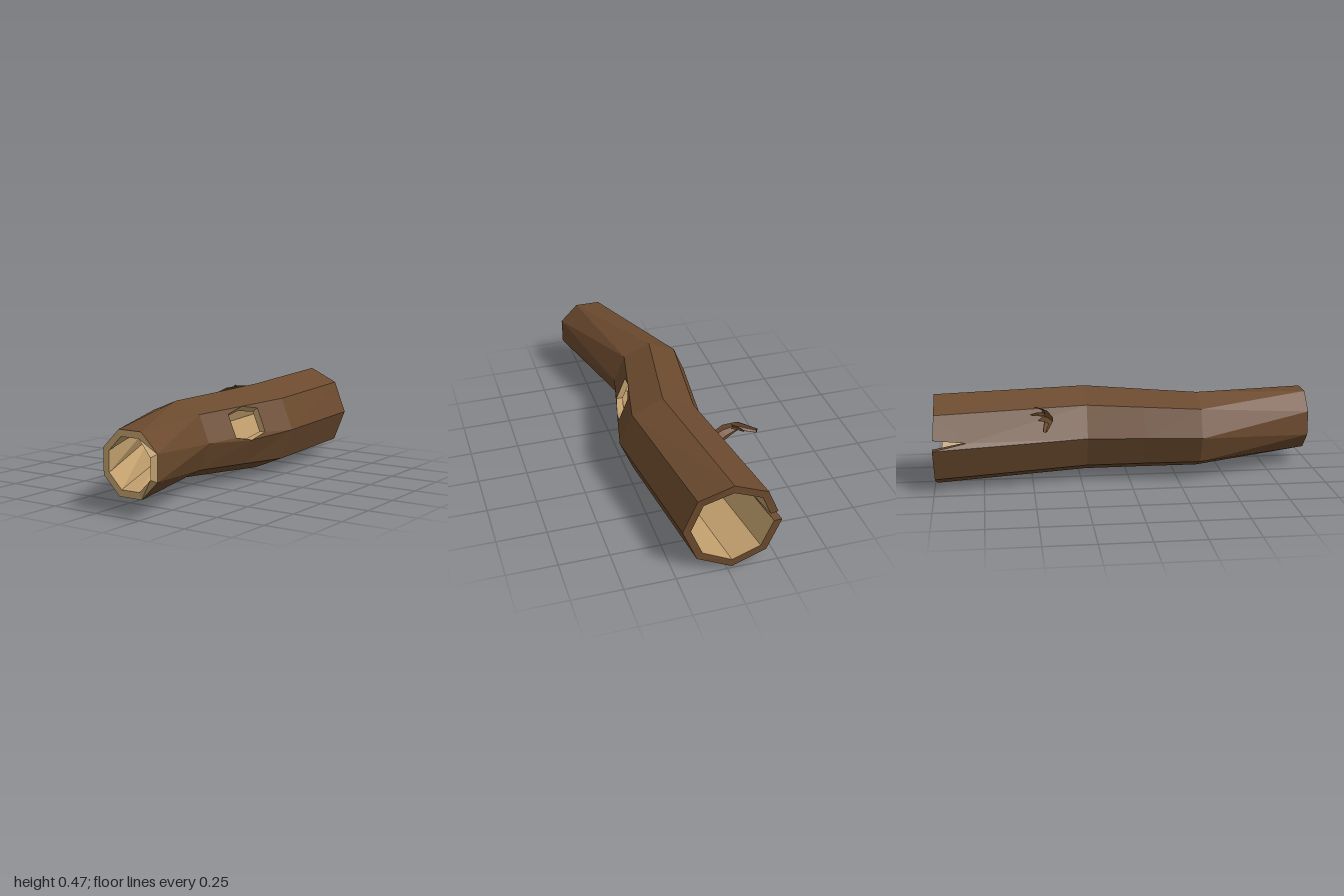
import * as THREE from 'three';

const BARK = 0x6b4a2e, WOOD = 0xc2a06e, SIDES = 8;
const V = (x, y, z) => new THREE.Vector3(x, y, z);

// Cross-sections of the trunk from front to back: centre, radius, twist, inner wall ratio
const SECTIONS = [
  { x: 0.18, y: 0.243, z: 0.97, r: 0.167, twist: Math.PI / 8, wall: 0.79 },
  { x: -0.015, y: 0.244, z: 0.36, r: 0.197, twist: 0, wall: 0.82 },
  { x: 0.033, y: 0.244, z: 0.07, r: 0.211, twist: 0, wall: 0.83 },
  { x: 0.08, y: 0.244, z: -0.22, r: 0.226, twist: 0, wall: 0.83 },
  { x: -0.025, y: 0.235, z: -0.98, r: 0.235, twist: 0, wall: 0.83 },
];
const BACK_Z = [-0.965, -0.97, -0.99, -0.99, -1, -0.995, -0.99, -0.97];

// Collects flat polygons and turns them into one faceted mesh
class Facets {
  constructor() { this.points = []; }
  add(...poly) {
    for (let i = 1; i < poly.length - 1; i++) this.points.push(poly[0], poly[i], poly[i + 1]);
  }
  mesh(name, color) {
    const geometry = new THREE.BufferGeometry().setFromPoints(this.points);
    geometry.computeVertexNormals();
    const mesh = new THREE.Mesh(geometry, new THREE.MeshStandardMaterial({ color, flatShading: true }));
    mesh.name = name;
    return mesh;
  }
}

// Pulls a point of the bark towards the trunk axis, onto the hollow's wall
function inward(p) {
  let i = 0;
  while (i < SECTIONS.length - 2 && p.z < SECTIONS[i + 1].z) i++;
  const a = SECTIONS[i], b = SECTIONS[i + 1];
  const t = THREE.MathUtils.clamp((a.z - p.z) / (a.z - b.z), 0, 1);
  const mix = (key) => a[key] + (b[key] - a[key]) * t;
  const cx = mix('x'), cy = mix('y'), s = mix('wall');
  // the front rim juts out a little on the right-hand edge
  const lip = p.z > 0.9 && p.x > 0.3 ? 0.028 : 0;
  return V(cx + (p.x - cx) * s + lip * 0.5, cy + (p.y - cy) * s, p.z + lip);
}

function makeTrunk() {
  const rings = SECTIONS.map((s, i) => Array.from({ length: SIDES }, (_, k) => {
    const a = (k / SIDES) * Math.PI * 2 + s.twist;
    return V(s.x + s.r * Math.cos(a), s.y + s.r * Math.sin(a), i === 4 ? BACK_Z[k] : s.z);
  }));
  const [front, r1, r2, r3, back] = rings;
  r2[0].y = 0.226;

  // Corners of the knothole and of the split in the back rim
  const h1 = V(0.171, 0.365, 0.175), h2 = V(0.219, 0.25, 0.175);
  const h3 = V(0.26, 0.255, -0.03), h4 = V(0.211, 0.375, -0.03);
  const notch = back[4].clone().lerp(back[3], 0.3), tip = V(-0.222, 0.262, -0.83);

  const faces = [];
  for (let i = 0; i < 4; i++) {
    for (let k = 0; k < SIDES; k++) {
      const n = (k + 1) % SIDES;
      if (k === 0 && i === 1) {
        faces.push([r1[0], r2[0], h2], [r1[0], h2, h1, r1[1]], [h1, r2[1], r1[1]]);
      } else if (k === 0 && i === 2) {
        faces.push([r2[0], r3[0], h3], [r3[0], r3[1], h4, h3], [r3[1], r2[1], h4]);
      } else if (k === 3 && i === 3) {
        faces.push([r3[3], back[3], tip], [back[3], notch, tip], [tip, back[4], r3[4]], [r3[3], tip, r3[4]]);
      } else {
        faces.push([rings[i][k], rings[i + 1][k], rings[i + 1][n], rings[i][n]]);
      }
    }
  }

  const bark = new Facets(), hollow = new Facets(), frontRim = new Facets();
  const backRim = new Facets(), holeRim = new Facets();
  for (const f of faces) {
    bark.add(...f);
    hollow.add(...f.map(inward).reverse());
  }

  // Rims join the bark to the hollow along each opening
  const rim = (target, path) => path.forEach((p, i) => {
    const q = path[(i + 1) % path.length];
    target.add(p, q, inward(q), inward(p));
  });
  rim(frontRim, front);
  rim(holeRim, [r2[1], h1, h2, r2[0], h3, h4]);
  rim(backRim, [3, 2, 1, 0, 7, 6, 5, 4].map((k) => back[k]).concat(tip, notch));

  const trunk = new THREE.Group();
  trunk.name = 'trunk';
  trunk.add(
    bark.mesh('bark', BARK), hollow.mesh('hollow', WOOD), frontRim.mesh('frontRim', WOOD),
    holeRim.mesh('knotholeRim', WOOD), backRim.mesh('backRim', BARK),
  );
  return trunk;
}

// Tapered six-sided limb along a few points [x, y, z, radius]
function makeLimb(name, path) {
  const centres = path.map(([x, y, z]) => V(x, y, z));
  const rings = path.map(([, , , r], i) => {
    const dir = centres[Math.min(i + 1, path.length - 1)].clone().sub(centres[Math.max(i - 1, 0)]).normalize();
    const side = dir.clone().cross(V(0, 1, 0)).normalize();
    const up = side.clone().cross(dir);
    return Array.from({ length: 6 }, (_, k) => {
      const a = (k / 6) * Math.PI * 2 + Math.PI / 6;
      return centres[i].clone().addScaledVector(side, r * Math.cos(a)).addScaledVector(up, r * Math.sin(a));
    });
  });
  const limb = new Facets();
  for (let i = 0; i < rings.length - 1; i++) {
    for (let k = 0; k < 6; k++) {
      const n = (k + 1) % 6;
      limb.add(rings[i][k], rings[i][n], rings[i + 1][n], rings[i + 1][k]);
    }
  }
  limb.add(...rings[rings.length - 1]);
  return limb.mesh(name, BARK);
}

export function createModel() {
  const log = new THREE.Group();
  log.name = 'hollowLog';
  log.add(makeTrunk());
  log.add(makeLimb('branch', [
    [-0.1, 0.375, -0.495, 0.034], [-0.175, 0.383, -0.448, 0.033],
    [-0.24, 0.377, -0.422, 0.023], [-0.335, 0.346, -0.445, 0.012],
  ]));
  log.add(makeLimb('twig', [
    [-0.2, 0.39, -0.435, 0.013], [-0.222, 0.402, -0.475, 0.009], [-0.243, 0.404, -0.51, 0.004],
  ]));
  return log;
}
